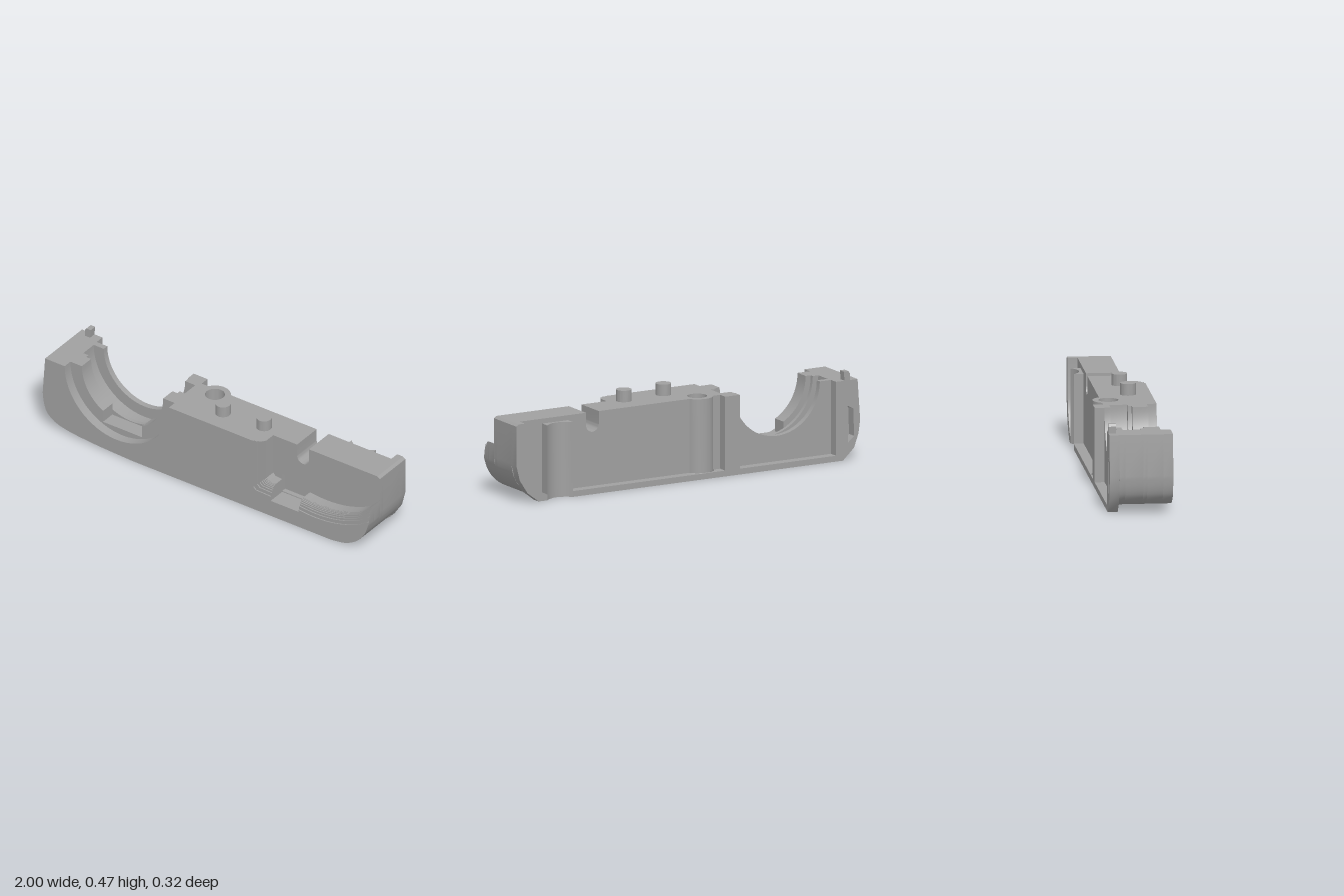
import * as THREE from 'three';
import { toCreasedNormals } from 'three/addons/utils/BufferGeometryUtils.js';

export function createModel() {
  const group = new THREE.Group();
  const grey = new THREE.MeshStandardMaterial({ color: 0xa0a0a0, side: THREE.DoubleSide });

  const add = (name, geo) => {
    const mesh = new THREE.Mesh(toCreasedNormals(geo, 0.5), grey);
    mesh.name = name;
    group.add(mesh);
    return mesh;
  };
  const toShape = (pts, holes = []) => {
    const shape = new THREE.Shape(pts.map(p => new THREE.Vector2(...p)));
    for (const h of holes) shape.holes.push(new THREE.Path(h.map(p => new THREE.Vector2(...p))));
    return shape;
  };
  // Front-view polygon extruded from z0 to z1
  const slab = (name, pts, z0, z1, holes) => {
    const geo = new THREE.ExtrudeGeometry(toShape(pts, holes), { depth: z1 - z0, bevelEnabled: false });
    return add(name, geo.translate(0, 0, z0));
  };
  // Plan polygon (x, z) extruded from y0 to y1
  const column = (name, pts, y0, y1, holes = []) => {
    const flip = list => list.map(([x, z]) => [x, -z]);
    const geo = new THREE.ExtrudeGeometry(toShape(flip(pts), holes.map(flip)), { depth: y1 - y0, bevelEnabled: false });
    return add(name, geo.rotateX(-Math.PI / 2).translate(0, y0, 0));
  };
  const arc = (cx, cy, r, a0, a1, n = 32) => Array.from({ length: n + 1 }, (_, i) => {
    const a = a0 + (a1 - a0) * i / n;
    return [cx + r * Math.cos(a), cy + r * Math.sin(a)];
  });
  const circle = (cx, cy, r) => arc(cx, cy, r, 0, Math.PI * 2, 36).slice(0, -1);
  const smooth = (pts, n = 14) =>
    new THREE.SplineCurve(pts.map(p => new THREE.Vector2(...p))).getPoints(n).map(v => [v.x, v.y]);
  const rect = (x0, y0, x1, y1) => [[x0, y0], [x1, y0], [x1, y1], [x0, y1]];

  // Left section: round cradle whose radius changes through the depth
  const leftCurve = smooth([[-0.45, 0], [-0.7, 0.012], [-0.88, 0.035], [-0.96, 0.075], [-0.99, 0.13], [-1, 0.2]]);
  const cx = -0.545, top = 0.41;
  const cradle = (r, notch) => {
    let cut = arc(cx, top, r, Math.PI, Math.PI * 2);
    if (notch) {
      const y = top - Math.sqrt(r * r - 0.0144);
      cut = [...cut.filter(p => p[0] < -0.67), [-0.665, y], [-0.665, 0.125],
        [-0.425, 0.125], [-0.425, y], ...cut.filter(p => p[0] > -0.42)];
    }
    return [[-0.2, top], [-0.2, 0], ...leftCurve, [-0.985, top], ...cut];
  };
  slab('cradleFront', cradle(0.32), 0.11, 0.16);
  slab('cradleFlange', cradle(0.25, true), 0.03, 0.11);
  slab('cradleStep', cradle(0.28), 0.01, 0.03);
  slab('cradleGroove', cradle(0.312), -0.08, 0.01);
  slab('cradleRear', cradle(0.25), -0.11, -0.08);

  // Right section: solid core with a U-shaped slot in the top
  const rightCurve = smooth([[0.77, 0], [0.86, 0.015], [0.93, 0.055], [0.975, 0.11], [0.994, 0.16]]);
  const core = [[0, 0], ...rightCurve, [1, 0.2], [1, 0.4], [0.985, top], [0.565, top],
    ...arc(0.528, 0.345, 0.037, 0, -Math.PI, 16), [0.491, top], [0, top]];
  slab('rightCore', core, -0.11, 0.035);
  slab('rightCoreFront', core, 0.035, 0.06, [rect(0.4, 0.095, 0.57, 0.2)]);

  // Front recess, widening in fine steps toward the front
  const recess = d => [[0, 0], ...rightCurve, [1, 0.18], [1, 0.27 - 1.5 * d],
    ...smooth([[0.995, 0.265 - 1.4 * d], [0.92, 0.203 - 1.1 * d], [0.8, 0.16 - d], [0.68, 0.146 - d], [0.57, 0.153 - d]], 20),
    [0.57, 0.09], [0.4, 0.09], [0.4, 0.167 - d], [0.36 - d, 0.17 - d], [0.345 - d, 0.185 - d],
    [0.345 - d, top], [0, top]];
  slab('recessWall', recess(0), 0.06, 0.11);
  const steps = 8;
  for (let i = 0; i < steps; i++) {
    const t = (i + 0.6) / steps;
    const d = 0.06 * (1 - Math.sqrt(1 - t * t)) * 1.25;
    slab('recessStep', recess(Math.min(d, 0.06)), 0.11 + 0.05 * i / steps, 0.11 + 0.05 * (i + 1) / steps);
  }

  // Middle section with the vertical screw hole, rear boss and countersink
  const hx = -0.105, hz = -0.07;
  column('screwBase', rect(-0.2, -0.16, 0, 0.16), 0, 0.03, [circle(hx, hz, 0.085)]);
  column('screwBoss', [[-0.2, 0.16], [-0.2, -0.11], ...arc(hx, hz, 0.08, Math.PI * 1.17, Math.PI * 1.83, 20),
    [0, -0.11], [0, 0.16]], 0.03, top, [circle(hx, hz, 0.05)]);
  const sink = new THREE.LatheGeometry([new THREE.Vector2(0.085, 0), new THREE.Vector2(0.05, 0.03)], 36);
  add('countersink', sink.translate(hx, 0, hz));

  // Rear rim: end walls, rib and low ledge around the open pockets
  slab('rearLeftRim', [[-0.2, 0], [-0.9, 0], [-0.965, 0.06], [-0.99, 0.13], [-1, 0.2], [-0.985, top], [-0.86, top],
    [-0.86, 0.03], [-0.3, 0.03], [-0.3, top], [-0.215, top], [-0.215, 0.03], [-0.2, 0.03]], -0.16, -0.11,
  [[[-0.965, 0.12], [-0.93, 0.09], [-0.925, 0.28], [-0.96, 0.26]]]);
  slab('rearLedge', rect(0, 0, 0.67, 0.03), -0.16, -0.11);
  slab('rearRightRim', [[0.82, 0], [0.87, 0], [0.935, 0.05], [0.98, 0.12], [1, 0.2], [1, 0.4], [0.985, top],
    [0.95, top], [0.95, 0.2], [0.92, 0.12], [0.86, 0.05], [0.82, 0.03]], -0.16, -0.11);

  // Grooved rib on the rear face
  const groove = Array.from({ length: 17 }, (_, i) => {
    const t = i / 8 - 1;
    return [0.745 + 0.075 * t, -0.125 - 0.035 * t * t];
  });
  column('groovedRib', [[0.67, -0.11], ...groove, [0.82, -0.11]], 0, 0.385);

  // Locating pins and the small corner tab
  for (const [x, z] of [[0.025, 0.043], [0.265, 0.026]]) {
    add('locatingPin', new THREE.CylinderGeometry(0.039, 0.039, 0.07, 32).translate(x, 0.434, z));
  }
  slab('cornerTab', [[-0.94, 0.4], [-0.91, 0.4], [-0.905, 0.457], [-0.932, 0.457], [-0.94, 0.445]], -0.16, -0.122);

  return group;
}
